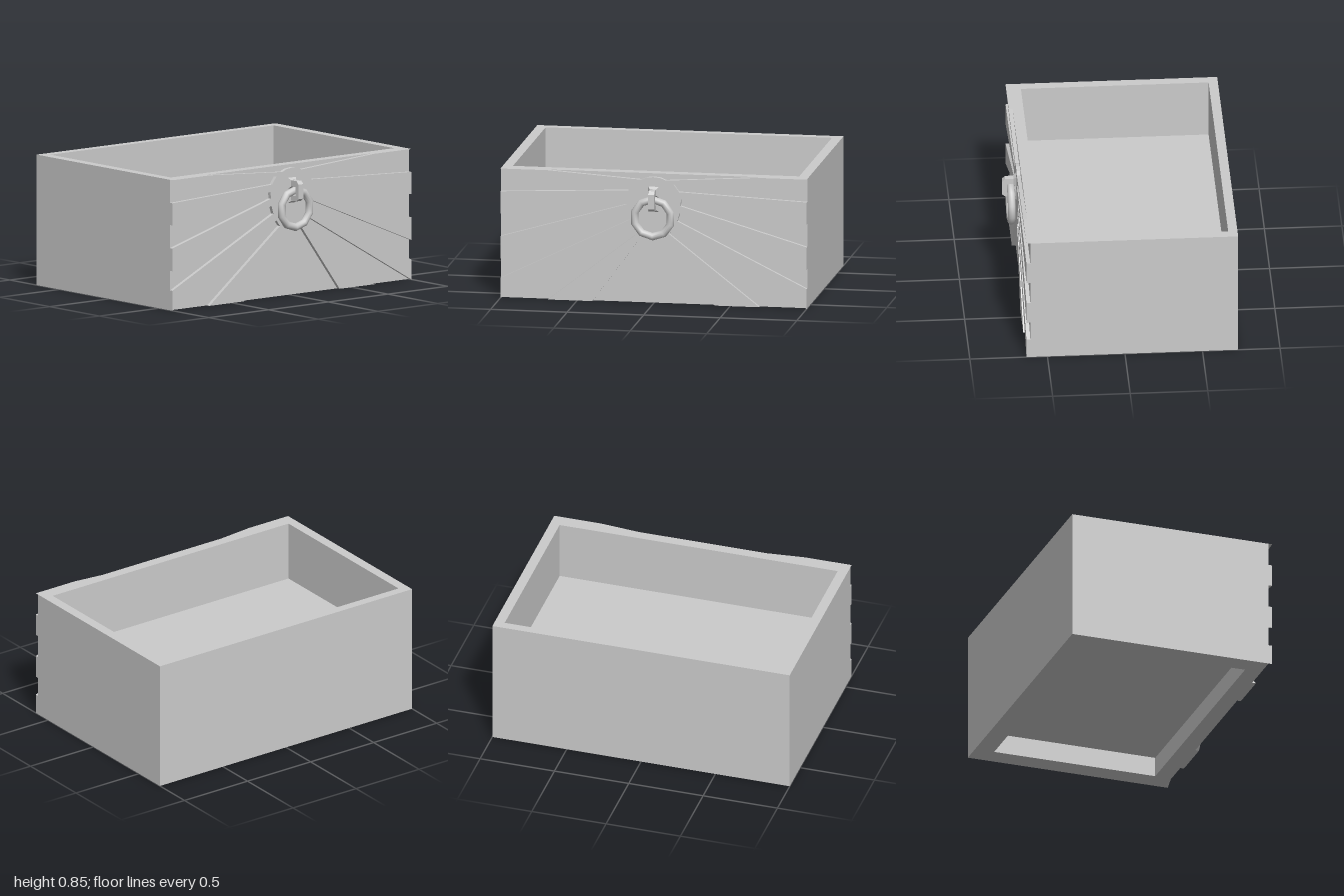
import * as THREE from 'three';

const material = new THREE.MeshStandardMaterial({ color: 0xcccccc });

function mesh(name, geometry) {
  const m = new THREE.Mesh(geometry, material);
  m.name = name;
  return m;
}

const polygon = (points) => new THREE.Shape(points.map(([x, y]) => new THREE.Vector2(x, y)));
const extrude = (shape, depth) =>
  new THREE.ExtrudeGeometry(shape, { depth, bevelEnabled: false });
const rect = (x0, x1, z) => [[x0, -z], [x1, -z], [x1, z], [x0, z]];

const BACK = -0.73, FACE = 0.61, HEIGHT = 0.85;

// Rectangular frame between two heights, open in the middle
function frame(name, x0, x1, z, y0, y1) {
  const shape = polygon(rect(BACK, FACE, 1));
  shape.holes.push(polygon(rect(x0, x1, z)));
  const geometry = extrude(shape, y1 - y0);
  geometry.rotateX(-Math.PI / 2).translate(0, y0, 0);
  return mesh(name, geometry);
}

// Raised sunburst: one outline whose notches are the grooves between the rays
function sunburst() {
  const half = [
    [0.045, 0.825], [0.08, 0.81], [0.69, 0.85], [1, 0.85],
    [0.13, 0.785], [0.165, 0.737], [1, 0.7], [1, 0.555],
    [0.18, 0.69], [0.175, 0.645], [1, 0.405], [1, 0.257],
    [0.172, 0.6], [0.155, 0.545], [1, 0.13], [1, 0],
    [0.13, 0.5], [0.1, 0.46], [0.69, 0], [0.4, 0], [0.08, 0.435],
  ];
  const mirrored = half.map(([z, y]) => [-z, y]).reverse();
  const shape = polygon([[0, 0.83], ...half, [0, 0.425], ...mirrored]);
  const geometry = extrude(shape, 0.025);
  geometry.rotateY(Math.PI / 2).translate(FACE, 0, 0);
  return mesh('sunburstFront', geometry);
}

// Tapered square foot fixing the staple to the front
function stapleFoot(y) {
  const geometry = new THREE.CylinderGeometry(0.031, 0.051, 0.018, 4, 1).toNonIndexed();
  geometry.rotateY(Math.PI / 4).rotateZ(-Math.PI / 2);
  geometry.computeVertexNormals();
  geometry.translate(0.643, y, 0);
  return mesh('stapleFoot', geometry);
}

// Chamfered staple that holds the ring
function staple() {
  const shape = polygon([
    [0.635, 0.62], [0.703, 0.62], [0.725, 0.637], [0.725, 0.732],
    [0.706, 0.752], [0.635, 0.752], [0.635, 0.712], [0.695, 0.712],
    [0.695, 0.655], [0.635, 0.655],
  ]);
  const geometry = extrude(shape, 0.04);
  geometry.translate(0, 0, -0.02);
  return mesh('staple', geometry);
}

// Hanging pull ring
function ring() {
  const geometry = new THREE.TorusGeometry(0.122, 0.025, 12, 10);
  geometry.rotateZ(Math.PI / 2).rotateY(Math.PI / 2).translate(0.67, 0.568, 0);
  return mesh('pullRing', geometry);
}

export function createModel() {
  const model = new THREE.Group();
  model.name = 'drawer';

  // Box: walls, base frame and floor
  model.add(frame('walls', -0.67, 0.54, 0.935, 0.13, HEIGHT));
  model.add(frame('baseFrame', -0.6, 0.5, 0.86, 0, 0.13));
  const floor = new THREE.BoxGeometry(1.21, 0.33, 1.87);
  floor.translate(-0.065, 0.295, 0);
  model.add(mesh('floor', floor));

  // Decorated front
  model.add(sunburst());

  // Handle
  const handle = new THREE.Group();
  handle.name = 'handle';
  handle.add(stapleFoot(0.732), stapleFoot(0.638), staple(), ring());
  model.add(handle);

  return model;
}
